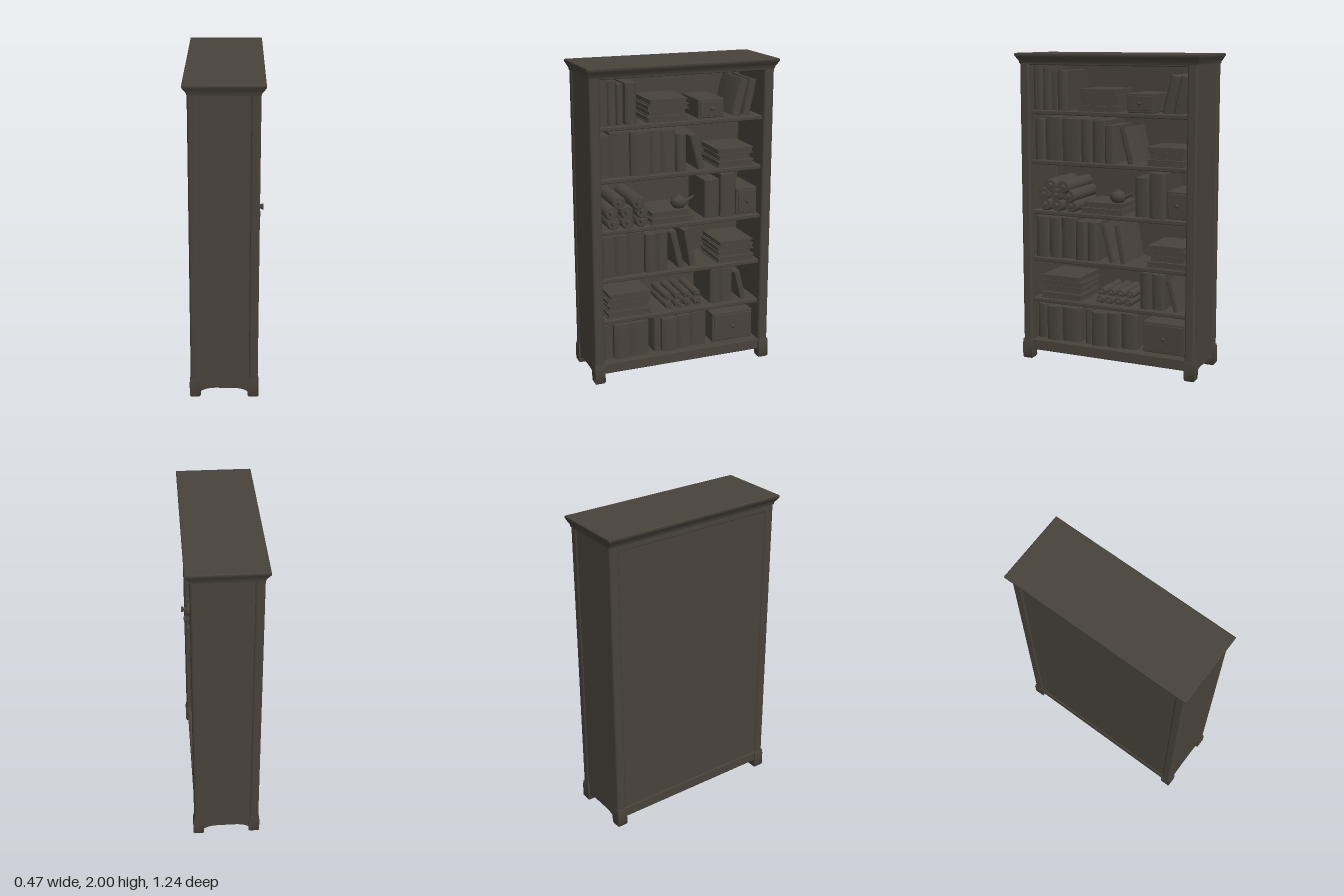
import * as THREE from 'three';
import { RoundedBoxGeometry } from 'three/addons/geometries/RoundedBoxGeometry.js';
import { toCreasedNormals } from 'three/addons/utils/BufferGeometryUtils.js';

// The bookcase is open towards +x and runs along z.
export function createModel() {
  const root = new THREE.Group();
  root.name = 'bookcase';
  const wood = new THREE.MeshStandardMaterial({ color: 0x48423a });
  wood.name = 'dark wood';

  const add = (name, geo, x = 0, y = 0, z = 0, parent = root) => {
    const m = new THREE.Mesh(geo, wood);
    m.name = name;
    m.position.set(x, y, z);
    parent.add(m);
    return m;
  };
  // Box given by its limits, with optionally rounded edges
  const block = (name, x0, x1, y0, y1, z0, z1, r = 0, parent = root) => {
    const s = [Math.abs(x1 - x0), y1 - y0, Math.abs(z1 - z0)];
    const g = r ? new RoundedBoxGeometry(...s, 2, r) : new THREE.BoxGeometry(...s);
    return add(name, g, (x0 + x1) / 2, (y0 + y1) / 2, (z0 + z1) / 2, parent);
  };
  // Loft through rectangles [y, halfX, halfZ], bottom to top, with both ends closed
  const loft = (rings) => {
    const pos = [], idx = [], n = rings.length;
    for (const [y, a, b] of rings) pos.push(-a, y, b, a, y, b, a, y, -b, -a, y, -b);
    for (let i = 0; i < n - 1; i++) for (let j = 0; j < 4; j++) {
      const a = i * 4 + j, b = i * 4 + (j + 1) % 4;
      idx.push(a, b, b + 4, a, b + 4, a + 4);
    }
    const t = (n - 1) * 4;
    idx.push(0, 2, 1, 0, 3, 2, t, t + 1, t + 2, t, t + 2, t + 3);
    const g = new THREE.BufferGeometry();
    g.setAttribute('position', new THREE.Float32BufferAttribute(pos, 3));
    g.setIndex(idx);
    return toCreasedNormals(g, 0.6);
  };

  // Carcass
  block('backPanel', -0.2, -0.17, 0.07, 1.95, -0.55, 0.55);
  block('bottomBoard', -0.19, 0.19, 0.06, 0.13, -0.55, 0.55);
  block('topBoard', -0.19, 0.19, 1.94, 1.97, -0.57, 0.57);
  block('frontPlinth', 0.17, 0.2, 0.06, 0.13, -0.55, 0.55, 0.006);
  block('frontTopRail', 0.165, 0.195, 1.925, 1.96, -0.55, 0.55, 0.006);
  block('backTopRail', -0.208, -0.17, 1.9, 1.96, -0.55, 0.55, 0.006);
  block('backBottomRail', -0.208, -0.17, 0.06, 0.13, -0.55, 0.55, 0.006);
  add('cornice', loft([[1.935, 0.208, 0.6], [1.95, 0.212, 0.602], [1.965, 0.223, 0.61],
    [1.978, 0.232, 0.616], [1.985, 0.236, 0.62], [1.996, 0.236, 0.62], [2, 0.231, 0.615]]));

  for (const s of [-1, 1]) {
    // Side panel with an arched lower edge
    const p = new THREE.Shape();
    p.moveTo(-0.19, 0.03).lineTo(-0.15, 0.03);
    p.quadraticCurveTo(-0.12, 0.06, -0.05, 0.06).lineTo(0.05, 0.06);
    p.quadraticCurveTo(0.12, 0.06, 0.15, 0.03).lineTo(0.19, 0.03);
    p.lineTo(0.19, 1.95).lineTo(-0.19, 1.95);
    const side = new THREE.ExtrudeGeometry(p, { depth: 0.055, bevelEnabled: false });
    add('sidePanel', side, 0, 0, s > 0 ? 0.538 : -0.593);
    for (const f of [-1, 1]) {
      block('cornerPost', f * 0.15, f * 0.208, 0.05, 1.95, s * 0.535, s * 0.6, 0.015);
      const foot = loft([[0, 0.026, 0.028], [0.012, 0.034, 0.034], [0.1, 0.034, 0.034], [0.13, 0.028, 0.032]]);
      add('foot', foot, f * 0.18, 0, s * 0.57);
    }
  }

  // Shelves: top surfaces from bottom to top
  const level = [0.13, 0.41, 0.685, 0.995, 1.32, 1.64];
  for (const y of level.slice(1)) block('shelf', -0.18, 0.18, y - 0.027, y, -0.54, 0.54, 0.006);

  // Upright book with a rounded spine facing the front
  const bookGeometry = (w, h, front) => {
    const s = new THREE.Shape(), a = w / 2, c = Math.min(0.018, a);
    s.moveTo(-0.14, -a).lineTo(front - c, -a);
    s.bezierCurveTo(front, -a, front, a, front - c, a);
    s.lineTo(-0.14, a);
    const g = new THREE.ExtrudeGeometry(s, { depth: h, bevelEnabled: false, curveSegments: 5 });
    return toCreasedNormals(g.rotateX(-Math.PI / 2), 0.7);
  };
  // Each row lists [left z, right z, height]
  const books = [
    [[0.53, 0.455, 0.23], [0.453, 0.345, 0.225], [0.343, 0.217, 0.225], [0.18, 0.13, 0.23],
      [0.128, 0.022, 0.22], [0.02, -0.075, 0.225], [-0.077, -0.185, 0.23]],
    [[-0.21, -0.285, 0.235], [-0.287, -0.37, 0.225]],
    [[0.525, 0.435, 0.265], [0.433, 0.35, 0.26], [0.348, 0.24, 0.265], [0.238, 0.16, 0.25], [0.158, 0.085, 0.25]],
    [[-0.17, -0.27, 0.245], [-0.272, -0.375, 0.28]],
    [[0.53, 0.46, 0.26], [0.458, 0.33, 0.275], [0.328, 0.2, 0.27], [0.198, 0.125, 0.27],
      [0.123, 0.032, 0.265], [0.03, -0.035, 0.235]],
    [[0.53, 0.47, 0.28], [0.468, 0.415, 0.265], [0.41, 0.367, 0.245], [0.36, 0.29, 0.25]],
  ];
  books.forEach((row, i) => row.forEach(([a, b, h], k) => {
    add('book', bookGeometry(a - b, h, 0.145 + 0.01 * ((k * 2 + i) % 3)), 0, level[i], (a + b) / 2);
  }));

  // Leaning books: [level, bottom z, top z, thickness, height]
  const leaning = [
    [1, -0.452, -0.4, 0.042, 0.2],
    [2, -0.01, 0.05, 0.045, 0.25], [2, -0.09, -0.045, 0.045, 0.25],
    [4, -0.145, -0.085, 0.05, 0.23],
    [5, -0.375, -0.435, 0.06, 0.235], [5, -0.445, -0.495, 0.05, 0.23],
  ];
  for (const [i, z0, z1, w, h] of leaning) {
    const m = add('leaningBook', bookGeometry(w, h, 0.145), 0, level[i], z0);
    m.rotation.x = Math.atan2(z1 - z0, h);
  }

  // Flat stacks: [level, left z, right z, height, number of books, bottom y offset]
  const stacks = [
    [1, 0.495, 0.2, 0.155, 4], [2, -0.255, -0.515, 0.14, 4], [3, 0.2, -0.09, 0.07, 2],
    [4, -0.25, -0.5, 0.115, 3], [5, 0.22, -0.055, 0.14, 4],
  ];
  for (const [i, a, b, h, n] of stacks) {
    const t = h / n;
    for (let k = 0; k < n; k++) {
      const d = 0.012 * (k % 2), y = level[i] + k * t, f = 0.155 - 0.012 * ((k * 2) % 3);
      const g = new THREE.Group();
      g.name = 'flatBook';
      root.add(g);
      block('lowerCover', -0.13, f, y, y + t * 0.16, a - d, b + d, 0, g);
      block('upperCover', -0.13, f, y + t * 0.84, y + t, a - d, b + d, 0, g);
      block('pages', -0.13, f - 0.006, y + t * 0.16, y + t * 0.84, a - d - 0.008, b + d + 0.008, 0, g);
    }
  }

  // Small chests with a drawer front and knob: [level, left z, right z, height]
  for (const [i, a, b, h] of [[0, -0.23, -0.515, 0.2], [3, -0.385, -0.53, 0.175], [5, -0.118, -0.29, 0.12]]) {
    const y = level[i];
    block('chest', -0.13, 0.14, y, y + h, a, b, 0.006);
    block('chestFront', 0.138, 0.147, y + 0.015, y + h - 0.015, a - 0.015, b + 0.015, 0.003);
    add('chestKnob', new THREE.SphereGeometry(0.012, 10, 8), 0.155, y + h * 0.5, (a + b) / 2);
  }

  // Rolled scrolls lying front to back, with a rod and end knob
  const scroll = (y, z, r, front) => {
    const pts = [[0, -0.14], [r, -0.14], [r, front - 0.045], [r * 0.85, front - 0.035], [r * 0.4, front - 0.035],
      [r * 0.3, front - 0.015], [r * 0.42, front - 0.012], [r * 0.42, front], [0, front]];
    const g = new THREE.LatheGeometry(pts.map(([a, b]) => new THREE.Vector2(a, b)), 14);
    add('scroll', toCreasedNormals(g.rotateZ(-Math.PI / 2), 0.6), 0, y, z);
  };
  for (const [y, z, f] of [[1.035, 0.45, 0.2], [1.035, 0.36, 0.21], [1.035, 0.265, 0.2],
    [1.1, 0.46, 0.2], [1.1, 0.365, 0.21], [1.1, 0.27, 0.22], [1.16, 0.41, 0.2], [1.16, 0.3, 0.236]]) {
    scroll(y, z, 0.043, f);
  }
  for (let k = 0; k < 4; k++) {
    scroll(level[1] + 0.024, 0.075 - k * 0.066, 0.026, 0.17);
    scroll(level[1] + 0.072, 0.07 - k * 0.066, 0.026, 0.15);
  }

  // Little pot with a spout, standing on the low stack
  const pot = [[0, 0], [0.035, 0], [0.055, 0.03], [0.045, 0.058], [0.03, 0.066], [0.012, 0.07], [0.012, 0.08], [0, 0.083]];
  add('pot', new THREE.LatheGeometry(pot.map(([a, b]) => new THREE.Vector2(a, b)), 16), 0.06, 1.065, -0.02);
  const spout = add('potSpout', new THREE.CylinderGeometry(0.008, 0.013, 0.07, 8), 0.06, 1.11, -0.09);
  spout.rotation.x = -1.1;

  return root;
}
